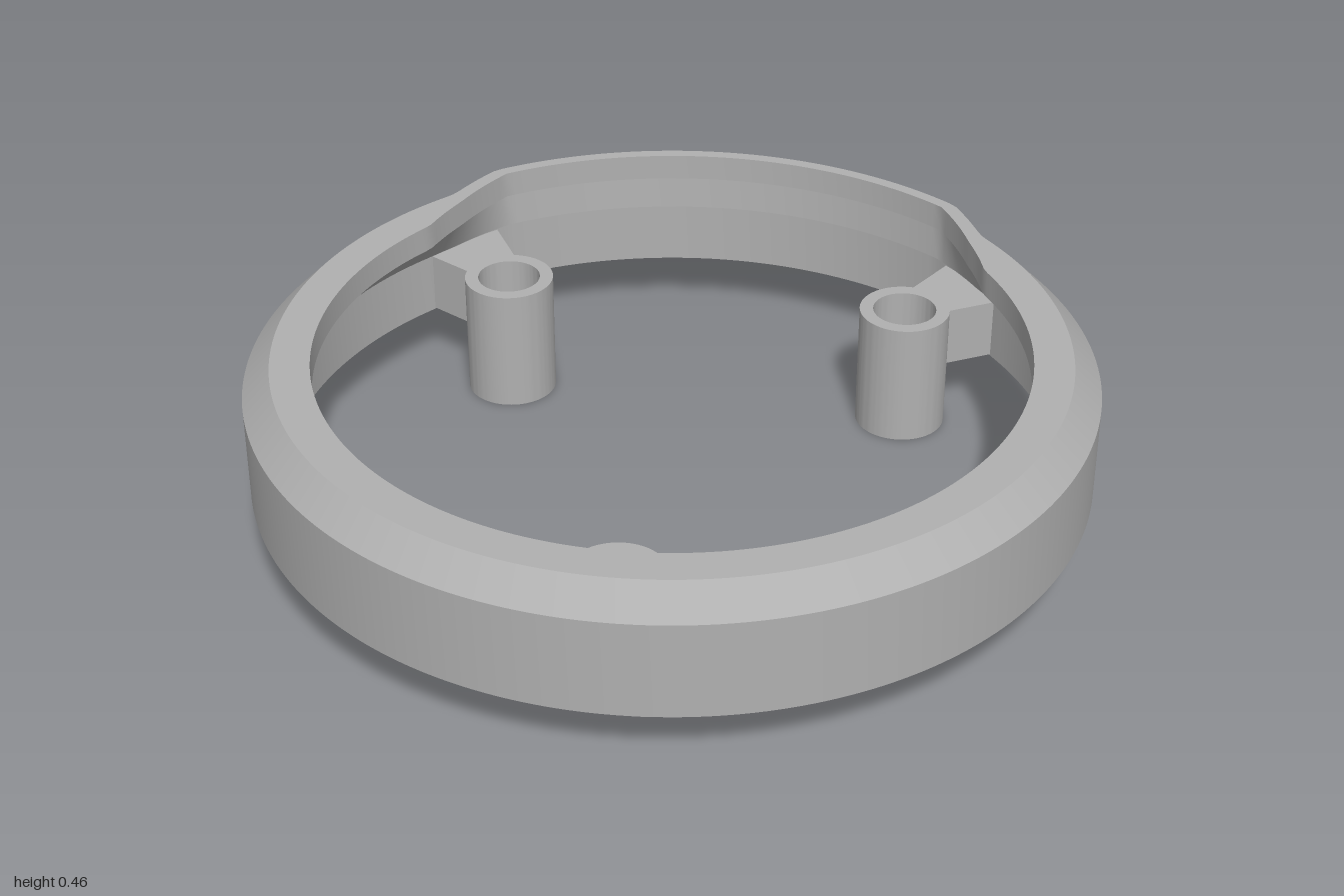
import * as THREE from 'three';
import { toCreasedNormals } from 'three/addons/utils/BufferGeometryUtils.js';

const CENTER_Z = 0.01;
const SEGMENTS = 240;

// Piecewise-linear lookup through [angle, value] pairs
function lerpKeys(keys, t) {
  if (t <= keys[0][0]) return keys[0][1];
  for (let i = 1; i < keys.length; i++) {
    const [a, va] = keys[i - 1], [b, vb] = keys[i];
    if (t <= b) return va + (vb - va) * (t - a) / (b - a);
  }
  return keys[keys.length - 1][1];
}

// Radii by degrees away from the back: thin bulged arc, then the regular lipped ring
const OUTER = [[38, 1.01], [42, 0.988], [47, 0.98]];
const CHAMFER = [[37, 0.975], [46, 0.917], [48, 0.915]];
const LIP = [[36, 0.945], [47, 0.87], [56, 0.823]];
const WALL = [[36, 0.94], [47, 0.91], [52, 0.905]];

function profile(deg) {
  const d = Math.abs(180 - deg);
  const outer = lerpKeys(OUTER, d), wall = lerpKeys(WALL, d), lip = lerpKeys(LIP, d);
  return [
    [outer, 0.157], [outer, 0.39], [lerpKeys(CHAMFER, d), 0.455],
    [lip, 0.455], [lip, 0.39], [wall, 0.31], [wall, 0.157],
  ];
}

// One strip per profile edge, so edges stay sharp and the sweep stays smooth
function ringGeometry() {
  const pos = [], index = [];
  const count = profile(0).length;
  for (let e = 0; e < count; e++) {
    const base = pos.length / 3;
    for (let i = 0; i < SEGMENTS; i++) {
      const deg = i * 360 / SEGMENTS, a = THREE.MathUtils.degToRad(deg);
      const p = profile(deg);
      for (const [r, y] of [p[e], p[(e + 1) % count]]) {
        pos.push(r * Math.sin(a), y, r * Math.cos(a));
      }
      const lo = base + i * 2, next = base + ((i + 1) % SEGMENTS) * 2;
      index.push(lo, next, lo + 1, next, next + 1, lo + 1);
    }
  }
  const g = new THREE.BufferGeometry();
  g.setAttribute('position', new THREE.Float32BufferAttribute(pos, 3));
  g.setIndex(index);
  g.computeVertexNormals();
  return g;
}

// Extrudes a plan shape upward; shape -y becomes +z (outward)
function extrudeUp(shape, y0, y1) {
  const g = new THREE.ExtrudeGeometry(shape, { depth: y1 - y0, bevelEnabled: false, curveSegments: 40 });
  g.rotateX(-Math.PI / 2);
  g.translate(0, y0, 0);
  return toCreasedNormals(g, 0.5);
}

export function createModel() {
  const grey = new THREE.MeshStandardMaterial({ color: 0xb0b0b0 });
  grey.name = 'grey';
  const model = new THREE.Group();
  model.name = 'mountingRing';

  const ring = new THREE.Mesh(ringGeometry(), grey);
  ring.name = 'ring';
  ring.position.z = CENTER_Z;
  model.add(ring);

  // Hollow post with a flat on its outward side
  const R = 0.11, flat = 0.085, half = Math.acos(flat / R);
  const postShape = new THREE.Shape();
  postShape.absarc(0, 0, R, -Math.PI / 2 + half, Math.PI * 1.5 - half, false);
  postShape.closePath();
  const bore = new THREE.Path();
  bore.absarc(0, 0, 0.077, 0, Math.PI * 2, true);
  postShape.holes.push(bore);
  const postGeo = extrudeUp(postShape, 0, 0.31);

  // Flared bracket from the flat to the ring wall
  const bracketShape = new THREE.Shape([
    new THREE.Vector2(-0.07, -flat), new THREE.Vector2(-0.108, -0.225),
    new THREE.Vector2(0.108, -0.225), new THREE.Vector2(0.07, -flat),
  ]);
  const bracketGeo = extrudeUp(bracketShape, 0.16, 0.309);

  const mounts = [['front', 0], ['backLeft', 135], ['backRight', -135]];
  for (const [name, deg] of mounts) {
    const mount = new THREE.Group();
    mount.name = name + 'Mount';
    const a = THREE.MathUtils.degToRad(deg);
    mount.position.set(0.7 * Math.sin(a), 0, CENTER_Z + 0.7 * Math.cos(a));
    mount.rotation.y = a;
    const post = new THREE.Mesh(postGeo, grey);
    post.name = name + 'Post';
    const bracket = new THREE.Mesh(bracketGeo, grey);
    bracket.name = name + 'Bracket';
    mount.add(post, bracket);
    model.add(mount);
  }
  return model;
}
